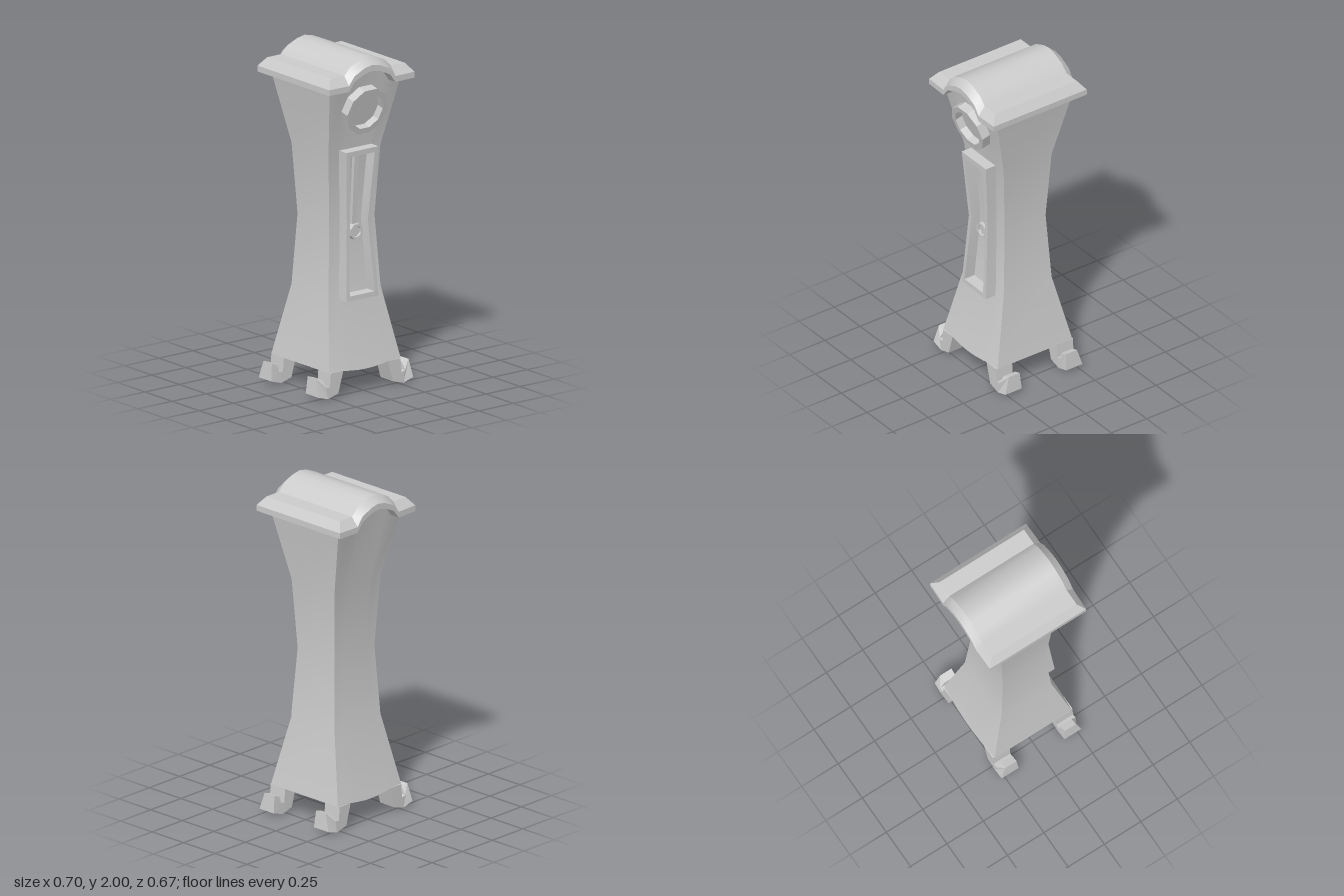
import * as THREE from 'three';
import { toCreasedNormals } from 'three/addons/utils/BufferGeometryUtils.js';

const material = new THREE.MeshStandardMaterial({ color: 0xcccccc });

function add(parent, name, geometry, crease = 0.5) {
  const mesh = new THREE.Mesh(toCreasedNormals(geometry, crease), material);
  mesh.name = name;
  parent.add(mesh);
  return mesh;
}

// Skin a series of equal rings; either capped at both ends or joined into a loop.
function loft(rings, loop = false) {
  const pos = [];
  const quad = (a, b, c, d) => pos.push(...a, ...b, ...c, ...a, ...c, ...d);
  const n = rings[0].length;
  const last = rings.length - 1;
  for (let i = 0; i < (loop ? last + 1 : last); i++) {
    const r = rings[i], s = rings[(i + 1) % rings.length];
    for (let j = 0; j < n; j++) {
      const k = (j + 1) % n;
      quad(r[j], r[k], s[k], s[j]);
    }
  }
  if (!loop) {
    const s = rings[0], e = rings[last];
    for (let j = 0; j < n / 2 - 1; j++) {
      quad(s[n - 1 - j], s[n - 2 - j], s[j + 1], s[j]);
      quad(e[j], e[j + 1], e[n - 2 - j], e[n - 1 - j]);
    }
  }
  const g = new THREE.BufferGeometry();
  g.setAttribute('position', new THREE.Float32BufferAttribute(pos, 3));
  return g;
}

// Arch of the hood: [lower x, lower y, upper x, upper y] from centre to eave
const arch = [
  [0, 1.925, 0, 2], [0.055, 1.915, 0.053, 1.99], [0.13, 1.88, 0.125, 1.96],
  [0.17, 1.828, 0.17, 1.915], [0.312, 1.828, 0.272, 1.915],
];

function archY(x) {
  const ax = Math.abs(x);
  const i = Math.max(1, arch.findIndex((p) => p[0] >= ax));
  const [x0, y0] = arch[i - 1], [x1, y1] = arch[i];
  return y0 + ((y1 - y0) * (ax - x0)) / (x1 - x0);
}

// Waisted case: [y, half width, half depth, bulge of front and back]
const levels = [
  [0.155, 0.262, 0.265, 0.012], [0.58, 0.19, 0.17, 0.003], [1, 0.166, 0.145, 0.002],
  [1.42, 0.19, 0.17, 0.003], [1.828, 0.26, 0.268, 0.008],
];

function bodyGeometry() {
  const stations = [-1, -0.65, -0.5, -0.21, 0, 0.21, 0.5, 0.65, 1];
  const rings = levels.map(([y, w, d, bulge], level) => {
    const side = (s) => stations.map((t) => {
      const x = t * w * s;
      let py = y;
      if (level === 0) py -= 0.015 * Math.max(0, 1 - (x / 0.17) ** 2);
      if (level === levels.length - 1) py = archY(x) + 0.004;
      return [x, py, s * (d + bulge * (1 - t * t))];
    });
    return [...side(1), ...side(-1)];
  });
  return loft(rings);
}

function hoodGeometry() {
  const half = arch.slice(1);
  const left = half.map(([a, b, c, d]) => [-a, b, -c, d]).reverse();
  return loft([...left, ...arch].map(([x, y, tx, ty]) => {
    const z = 0.335 - 0.015 * x * x / 0.31;
    const rim = y + 0.035;
    return [[x, y, -z], [x, rim, -z], [tx, ty, -0.29], [tx, ty, 0.29], [x, rim, z], [x, y, z]];
  }));
}

// Frame section swept round the waisted opening: [outer x, outer y, inner x, inner y, front z]
function frameGeometry() {
  const right = [
    [0.117, 1.435, 0.09, 1.405, 0.243], [0.09, 1, 0.065, 1, 0.212], [0.117, 0.547, 0.09, 0.577, 0.243],
  ];
  const left = right.map(([a, b, c, d, z]) => [-a, b, -c, d, z]).reverse();
  return loft([...right, ...left].map(([ox, oy, ix, iy, z]) => [
    [ox, oy, z - 0.09], [ox, oy, z], [ix, iy, z], [ix, iy, z - 0.09],
  ]), true);
}

function polygon(radius, sides, start = 0) {
  return Array.from({ length: sides }, (_, i) => {
    const a = start + (i / sides) * Math.PI * 2;
    return new THREE.Vector2(radius * Math.cos(a), radius * Math.sin(a));
  });
}

function ringGeometry(outer, inner, sides, depth, start) {
  const shape = new THREE.Shape(polygon(outer, sides, start));
  shape.holes.push(new THREE.Path(polygon(inner, sides, start)));
  return new THREE.ExtrudeGeometry(shape, { depth, bevelEnabled: false });
}

// Scrolled foot; the upturned toe narrows towards its tip
function footGeometry(side) {
  const outline = [
    [0.164, 0.155], [0.2, 0.027], [0.275, 0.005], [0.348, 0.027], [0.338, 0.13],
    [0.292, 0.115], [0.29, 0.078], [0.262, 0.072], [0.255, 0.155],
  ];
  const shape = new THREE.Shape(outline.map(([x, y]) => new THREE.Vector2(side * x, y)));
  const g = new THREE.ExtrudeGeometry(shape, { depth: 0.115, bevelEnabled: false });
  g.translate(0, 0, 0.158);
  const p = g.attributes.position;
  for (let i = 0; i < p.count; i++) {
    if (Math.abs(p.getX(i)) > 0.28 && p.getY(i) > 0.1) {
      p.setZ(i, p.getZ(i) > 0.2 ? 0.242 : 0.165);
    }
  }
  return g;
}

export function createModel() {
  const clock = new THREE.Group();
  clock.name = 'longcaseClock';

  add(clock, 'caseBody', bodyGeometry());
  add(clock, 'archedHood', hoodGeometry());
  add(clock, 'windowFrame', frameGeometry(), 0.2);

  // Tilted dial
  const dial = new THREE.Group();
  dial.name = 'dial';
  dial.position.set(0, 1.685, 0.235);
  dial.rotation.x = 0.24;
  add(dial, 'dialRing', ringGeometry(0.147, 0.112, 10, 0.056, 0), 0.2);
  const face = new THREE.CircleGeometry(0.114, 10);
  face.translate(0, 0, 0.01);
  add(dial, 'dialFace', face);
  clock.add(dial);

  // Pendulum hanging in front of the case
  const pendulum = new THREE.Group();
  pendulum.name = 'pendulum';
  const rod = add(pendulum, 'pendulumRod', new THREE.BoxGeometry(0.034, 0.47, 0.03));
  rod.position.set(0, 1.185, 0.165);
  rod.rotation.x = 0.059;
  const bob = add(pendulum, 'pendulumBob', ringGeometry(0.047, 0.034, 8, 0.045, Math.PI / 8), 0.2);
  bob.position.set(0, 0.935, 0.145);
  const disc = new THREE.CylinderGeometry(0.036, 0.036, 0.03, 8);
  disc.rotateY(Math.PI / 8).rotateX(Math.PI / 2);
  add(pendulum, 'bobFace', disc).position.set(0, 0.935, 0.16);
  clock.add(pendulum);

  // Four feet: each handed pair is turned half round for the back
  for (const side of [1, -1]) {
    for (const turn of [0, Math.PI]) {
      add(clock, turn ? 'backFoot' : 'frontFoot', footGeometry(side), 0.2).rotation.y = turn;
    }
  }
  return clock;
}
